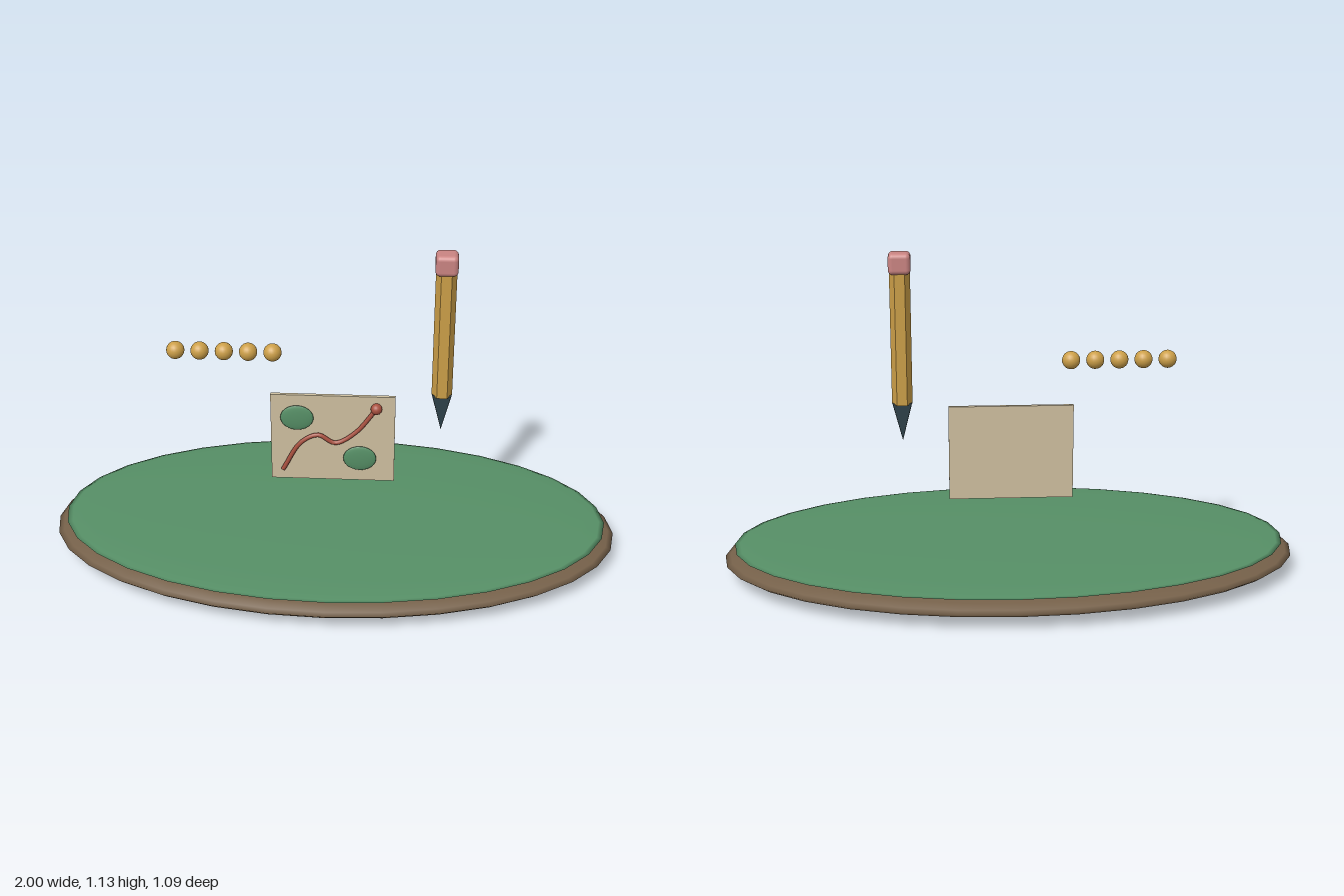
import * as THREE from 'three';
import { RoundedBoxGeometry } from 'three/addons/geometries/RoundedBoxGeometry.js';

const mat = (color, flatShading = false) => new THREE.MeshStandardMaterial({ color, flatShading });
const green = mat(0x568f66), brown = mat(0x756049), gold = mat(0xcc9f48), woodYellow = mat(0xcc9f48, true);
const paper = mat(0xcfc0a0), red = mat(0xa8503f), slate = mat(0x2d4048), pink = mat(0xca8482);

export function createModel() {
  const model = new THREE.Group();
  const add = (parent, name, geometry, material, x, y, z) => {
    const mesh = new THREE.Mesh(geometry, material);
    mesh.name = name;
    mesh.position.set(x, y, z);
    parent.add(mesh);
    return mesh;
  };
  const group = (name) => {
    const g = new THREE.Group();
    g.name = name;
    model.add(g);
    return g;
  };
  const ellipsoid = (rx, ry, rz, ws = 32, hs = 16) => new THREE.SphereGeometry(1, ws, hs).scale(rx, ry, rz);

  // Oval ground: earth underside with a thinner grass disc on top
  const ground = group('ground');
  add(ground, 'earthBase', ellipsoid(1, 0.06, 0.545), brown, 0, 0.06, 0);
  add(ground, 'grassTop', ellipsoid(0.965, 0.018, 0.525), green, 0, 0.104, 0);

  // Upright map sheet with two land patches and a winding route
  const map = group('map');
  add(map, 'mapSheet', new THREE.BoxGeometry(0.432, 0.336, 0.013), paper, -0.004, 0.426, 0);
  for (const [x, y] of [[-0.128, 0.509], [0.091, 0.352]]) {
    add(map, 'landPatch', ellipsoid(0.058, 0.048, 0.008, 24, 12), green, x, y, 0.014);
  }
  const route = new THREE.CatmullRomCurve3([
    [-0.179, 0.299], [-0.115, 0.41], [-0.055, 0.442], [0.005, 0.412], [0.075, 0.455], [0.147, 0.55],
  ].map(([x, y]) => new THREE.Vector3(x, y, 0.014)));
  add(map, 'route', new THREE.TubeGeometry(route, 40, 0.008, 8), red, 0, 0, 0);
  add(map, 'routeMarker', new THREE.SphereGeometry(0.02, 20, 14), red, 0.147, 0.551, 0.014);

  // Floating row of five beads
  const beads = group('beads');
  for (let i = 0; i < 5; i++) {
    add(beads, 'bead', new THREE.SphereGeometry(0.031, 20, 14), gold, -0.541 + i * 0.083, 0.753, 0);
  }

  // Upright pencil: hexagonal body, rounded eraser, wedge tip
  const pencil = group('pencil');
  pencil.position.x = 0.369;
  const body = new THREE.CylinderGeometry(0.035, 0.035, 0.462, 6).rotateY(Math.PI / 2);
  add(pencil, 'pencilBody', body, woodYellow, 0, 0.839, 0);
  add(pencil, 'eraser', new RoundedBoxGeometry(0.075, 0.072, 0.077, 3, 0.016), pink, 0, 1.096, 0);
  const wedge = new THREE.Shape([[-0.031, 0.61], [0, 0.484], [0.031, 0.61]].map(([x, y]) => new THREE.Vector2(x, y)));
  const tip = new THREE.ExtrudeGeometry(wedge, {
    depth: 0.032, bevelThickness: 0.004, bevelSize: 0.002, bevelSegments: 2,
  });
  add(pencil, 'pencilTip', tip, slate, 0, 0, -0.016);

  return model;
}
